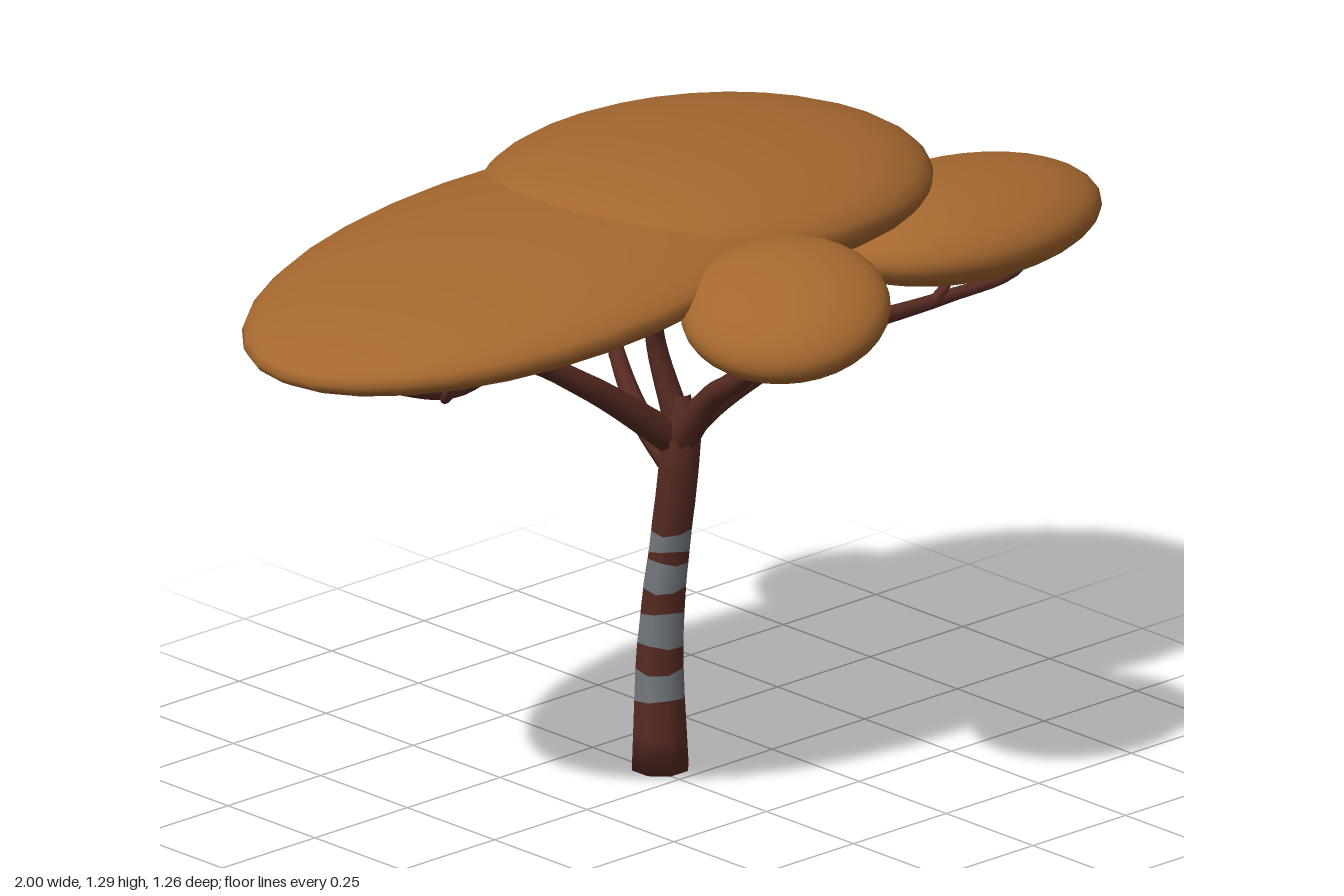
import * as THREE from 'three';

const bark = new THREE.MeshStandardMaterial({ color: 0x572b22 });
bark.name = 'bark';
const pale = new THREE.MeshStandardMaterial({ color: 0x757a80 });
pale.name = 'paleBark';
const leaf = new THREE.MeshStandardMaterial({ color: 0xa5672f });
leaf.name = 'foliage';

function addMesh(parent, geometry, material, name) {
  const mesh = new THREE.Mesh(geometry, material);
  mesh.name = name;
  parent.add(mesh);
  return mesh;
}

// Tapered limb: a tube whose wall is moved in along its normals
function addLimb(parent, name, r0, r1, ...points) {
  const curve = new THREE.CatmullRomCurve3(points.map((p) => new THREE.Vector3(...p)));
  const base = 0.02;
  const geo = new THREE.TubeGeometry(curve, points.length * 6, base, 8);
  const { position, normal, uv } = geo.attributes;
  const p = new THREE.Vector3(), n = new THREE.Vector3();
  for (let i = 0; i < position.count; i++) {
    const t = uv.getX(i);
    const r = t > 0.999 ? 0.0005 : r0 + (r1 - r0) * Math.pow(t, 0.75);
    p.fromBufferAttribute(position, i);
    n.fromBufferAttribute(normal, i);
    p.addScaledVector(n, r - base);
    position.setXYZ(i, p.x, p.y, p.z);
  }
  addMesh(parent, geo, bark, name);
}

// Trunk centre line and radius: it rises straight, then leans to the front
function trunkAt(y) {
  const lean = THREE.MathUtils.smoothstep(y, 0.18, 0.82);
  const flare = 0.017 * Math.pow(Math.max(0, 1 - y / 0.5), 1.4);
  const neck = THREE.MathUtils.smoothstep(y, 0.72, 0.81);
  return { x: 0.022 - 0.013 * y, z: -0.079 + 0.075 * lean, r: 0.043 + flare - 0.027 * neck };
}

// Eight-sided trunk; pale bands are geometry groups
function trunkGeometry() {
  const bands = [[0.155, 0.215], [0.27, 0.34], [0.39, 0.452], [0.475, 0.517]];
  const edges = bands.flat();
  const levels = [0.004, 0.08, ...edges, 0.58, 0.65, 0.72, 0.77, 0.81];
  const sides = 8, pos = [], index = [[], []];
  levels.forEach((y, row) => {
    const c = trunkAt(y);
    for (let i = 0; i < sides; i++) {
      const a = ((i + 0.5) / sides) * Math.PI * 2;
      const wobble = edges.includes(y) ? 0.005 * Math.sin(a * 2 + row * 2) : 0;
      pos.push(c.x + c.r * Math.cos(a), y + wobble, c.z + c.r * Math.sin(a));
    }
    if (row === 0) return;
    const mid = (y + levels[row - 1]) / 2;
    const band = bands.findIndex(([lo, hi]) => mid > lo && mid < hi);
    for (let i = 0; i < sides; i++) {
      const gap = band === 2 && i === 5; // dark break at the back
      const a = (row - 1) * sides + i, b = (row - 1) * sides + ((i + 1) % sides);
      index[band >= 0 && !gap ? 1 : 0].push(a, a + sides, b, b, a + sides, b + sides);
    }
  });
  // Bottom cap
  for (let i = 1; i < sides - 1; i++) index[0].push(0, i, i + 1);
  const geo = new THREE.BufferGeometry();
  geo.setAttribute('position', new THREE.Float32BufferAttribute(pos, 3));
  geo.setIndex([...index[0], ...index[1]]);
  geo.addGroup(0, index[0].length, 0);
  geo.addGroup(index[0].length, index[1].length, 1);
  geo.computeVertexNormals();
  return geo;
}

// Flattened foliage pad, tilted about x and z
function addPad(parent, name, centre, radii, tiltX, tiltZ) {
  const pad = addMesh(parent, new THREE.SphereGeometry(1, 32, 20), leaf, name);
  pad.position.set(...centre);
  pad.scale.set(...radii);
  pad.rotation.set(tiltX, 0, tiltZ);
}

export function createModel() {
  const tree = new THREE.Group();
  tree.name = 'tree';

  addMesh(tree, trunkGeometry(), [bark, pale], 'trunk');

  // Round pale spots low on the trunk
  for (const angle of [0, Math.PI * 1.25]) {
    const c = trunkAt(0.11);
    const d = c.r * Math.cos(Math.PI / 8) + 0.003;
    const spot = addMesh(tree, new THREE.CircleGeometry(0.018, 12), pale, 'barkSpot');
    spot.position.set(c.x + d * Math.cos(angle), 0.11, c.z + d * Math.sin(angle));
    spot.rotation.y = Math.PI / 2 - angle;
  }

  // Right branch and its twigs
  addLimb(tree, 'rightBranch', 0.036, 0.008, [0.02, 0.7, -0.02], [-0.2, 0.865, -0.055],
    [-0.36, 0.953, -0.08], [-0.6, 0.963, -0.02], [-0.84, 1.045, 0.02]);
  addLimb(tree, 'rightInnerTwig', 0.017, 0.012, [-0.29, 0.92, -0.08], [-0.345, 0.96, -0.13], [-0.345, 1.07, -0.23]);
  addLimb(tree, 'rightOuterTwig', 0.012, 0.008, [-0.6, 0.963, -0.02], [-0.68, 0.99, 0.05], [-0.69, 1.06, 0.1]);

  // Left branch and its twigs
  addLimb(tree, 'leftBranch', 0.036, 0.008, [0, 0.71, -0.02], [0.1, 0.778, 0], [0.32, 0.853, 0.04],
    [0.65, 0.87, 0.07], [0.81, 0.9, 0.11], [0.86, 0.98, 0.13]);
  addLimb(tree, 'leftInnerTwig', 0.018, 0.009, [0.27, 0.835, 0.04], [0.335, 0.89, 0.05], [0.36, 1.03, 0.055]);
  addLimb(tree, 'leftOuterTwig', 0.012, 0.008, [0.62, 0.868, 0.07], [0.655, 0.9, 0.07], [0.66, 0.97, 0.06]);

  // Front, upper and back branches
  addLimb(tree, 'frontBranch', 0.038, 0.009, [0.012, 0.7, -0.02], [-0.005, 0.835, 0.1],
    [-0.03, 0.9, 0.2], [-0.08, 1.07, 0.44]);
  addLimb(tree, 'upperBranch', 0.03, 0.012, [0.012, 0.74, -0.015], [-0.01, 0.92, -0.06], [-0.06, 1.09, 0]);
  addLimb(tree, 'backBranch', 0.03, 0.008, [0.015, 0.65, -0.03], [0.04, 0.71, -0.15],
    [0.085, 0.815, -0.275], [0.2, 0.99, -0.46]);
  addLimb(tree, 'backTwig', 0.016, 0.009, [0.08, 0.8, -0.265], [0.09, 0.87, -0.298], [0.09, 0.99, -0.307]);

  // Foliage
  addPad(tree, 'rightCanopy', [-0.34, 1.14, -0.085], [0.665, 0.098, 0.405], 0, 0.09);
  addPad(tree, 'topCanopy', [0.17, 1.178, -0.11], [0.49, 0.117, 0.405], 0, -0.02);
  addPad(tree, 'leftCanopy', [0.665, 1.037, 0.095], [0.33, 0.094, 0.216], 0.05, 0);
  addPad(tree, 'frontCanopy', [-0.11, 1.132, 0.422], [0.206, 0.09, 0.21], 0.18, 0.27);
  addPad(tree, 'backCanopy', [0.165, 1.018, -0.415], [0.2, 0.053, 0.216], 0, 0);
  return tree;
}
